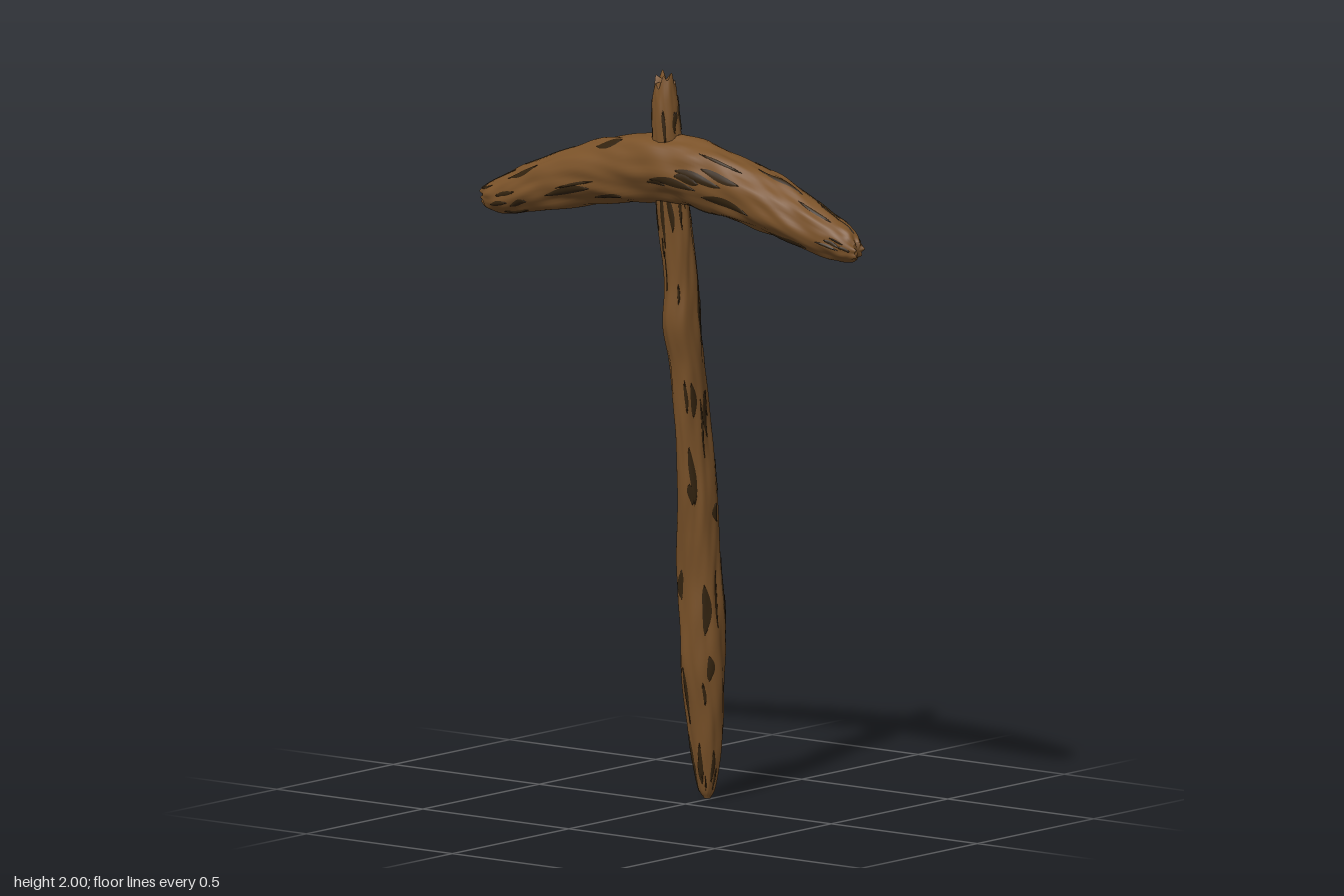
import * as THREE from 'three';
import { mergeGeometries } from 'three/addons/utils/BufferGeometryUtils.js';

const wood = new THREE.MeshStandardMaterial({ color: 0x7a5229 });
const darkWood = new THREE.MeshStandardMaterial({ color: 0x33230f, side: THREE.DoubleSide });

// Small seeded random generator
function seeded(seed) {
  return () => (seed = (seed * 16807) % 2147483647) / 2147483647;
}

// Surface of a limb from rows [station, lowA, highA, lowB, highB]; returns point(u, angle, lift)
function limbSurface(rows, place, phase, jagStart, jagEnd) {
  const curve = (a, b) => new THREE.CatmullRomCurve3(
    rows.map(r => new THREE.Vector3(r[0], r[a], r[b])), false, 'catmullrom', 0.5);
  const low = curve(1, 3), high = curve(2, 4);
  return (u, a, lift = 0) => {
    const lo = low.getPoint(u), hi = high.getPoint(u);
    // lumps, long grain ridges and fine bark
    const rough = 0.97
      + 0.030 * Math.sin(2 * a + 9 * u + phase)
      + 0.025 * Math.sin(3 * a + 31 * u + 2 * phase)
      + 0.028 * Math.sin(7 * a + 3 * Math.sin(11 * u + phase))
      + 0.020 * Math.sin(12 * a + 4 * Math.sin(17 * u) + phase) * Math.sin(23 * u + 2 * a)
      + 0.012 * Math.sin(5 * a + 75 * u);
    // splintered ends
    const teeth = 0.6 * Math.sin(2 * a + phase) + 0.4 * Math.sin(7 * a);
    const s = lo.x + teeth * (jagEnd * Math.max(0, 1 - (1 - u) * 18) + jagStart * Math.max(0, 1 - u * 18));
    const A = (lo.y + hi.y) / 2 + Math.cos(a) * ((hi.y - lo.y) / 2 * rough + lift);
    const B = (lo.z + hi.z) / 2 + Math.sin(a) * ((hi.z - lo.z) / 2 * rough + lift);
    return place(s, A, B);
  };
}

function indexed(points, index) {
  const g = new THREE.BufferGeometry().setFromPoints(points);
  g.setIndex(index);
  g.computeVertexNormals();
  return g;
}

// Closed skin of a limb with sunken end caps
function limbGeometry(surface, along = 150, around = 56) {
  const pts = [], idx = [];
  for (let i = 0; i <= along; i++)
    for (let j = 0; j < around; j++) pts.push(surface(i / along, j / around * Math.PI * 2));
  for (let i = 0; i < along; i++)
    for (let j = 0; j < around; j++) {
      const a = i * around + j, b = i * around + (j + 1) % around;
      const c = a + around, d = b + around;
      idx.push(a, c, b, b, c, d);
    }
  for (const end of [0, 1]) {
    const first = pts.length;
    const centre = new THREE.Vector3();
    for (let j = 0; j < around; j++) {
      const p = surface(end, j / around * Math.PI * 2);
      pts.push(p);
      centre.addScaledVector(p, 1 / around);
    }
    pts.push(centre);
    for (let j = 0; j < around; j++) {
      const a = first + j, b = first + (j + 1) % around;
      idx.push(...(end ? [a, first + around, b] : [b, first + around, a]));
    }
  }
  return indexed(pts, idx);
}

// Leaf-shaped dark gouge that follows the limb surface
function gouge(surface, u0, a0, length, width) {
  const n = 8, m = 4, pts = [], idx = [];
  for (let i = 0; i <= n; i++) {
    const t = i / n, w = width * Math.pow(Math.sin(Math.PI * t), 0.7);
    const drift = 0.3 * width * Math.sin(5 * t + a0 * 3);
    for (let j = 0; j <= m; j++) {
      const k = j / m * 2 - 1;
      pts.push(surface(u0 + (t - 0.5) * length, a0 + drift + k * w, 0.0018 * (1.2 - k * k)));
    }
  }
  for (let i = 0; i < n; i++)
    for (let j = 0; j < m; j++) {
      const a = i * (m + 1) + j, c = a + m + 1;
      idx.push(a, c, a + 1, a + 1, c, c + 1);
    }
  return indexed(pts, idx);
}

function limb(name, surface, gouges, seed, length, width) {
  const group = new THREE.Group();
  group.name = name;
  const skin = new THREE.Mesh(limbGeometry(surface), wood);
  skin.name = name + 'Wood';
  const rnd = seeded(seed), marks = [];
  for (let i = 0; i < gouges; i++) {
    const l = length * (0.4 + rnd());
    const u = l / 2 + 0.02 + rnd() * (0.96 - l);
    marks.push(gouge(surface, u, rnd() * Math.PI * 2, l, width * (0.35 + rnd())));
  }
  const bark = new THREE.Mesh(mergeGeometries(marks), darkWood);
  bark.name = name + 'Gouges';
  group.add(skin, bark);
  return group;
}

export function createModel() {
  const model = new THREE.Group();
  model.name = 'woodenPick';

  // Leaning handle: [y, x low, x high, z low, z high]
  const handle = limbSurface([
    [0.00, -0.022, -0.004, -0.120, -0.102],
    [0.03, -0.040, 0.010, -0.134, -0.088],
    [0.12, -0.056, 0.030, -0.143, -0.070],
    [0.24, -0.064, 0.044, -0.146, -0.050],
    [0.36, -0.068, 0.052, -0.143, -0.028],
    [0.48, -0.070, 0.058, -0.134, -0.024],
    [0.60, -0.076, 0.060, -0.123, -0.020],
    [0.72, -0.060, 0.060, -0.113, -0.004],
    [0.84, -0.044, 0.060, -0.102, 0.012],
    [0.96, -0.042, 0.055, -0.088, 0.022],
    [1.08, -0.044, 0.053, -0.072, 0.036],
    [1.20, -0.042, 0.054, -0.053, 0.052],
    [1.31, -0.046, 0.056, -0.037, 0.078],
    [1.42, -0.038, 0.057, -0.020, 0.076],
    [1.53, -0.044, 0.056, -0.001, 0.086],
    [1.64, -0.045, 0.050, 0.015, 0.098],
    [1.75, -0.043, 0.042, 0.032, 0.108],
    [1.85, -0.042, 0.037, 0.043, 0.114],
    [1.92, -0.040, 0.031, 0.046, 0.112],
    [1.975, -0.036, 0.022, 0.050, 0.106],
  ], (s, A, B) => new THREE.Vector3(A, s, B), 0.6, 0, 0.027);
  model.add(limb('handle', handle, 70, 41, 0.055, 0.17));

  // Bowed crosspiece: [x, z low, z high, y low, y high]
  const head = limbSurface([
    [-0.640, 0.040, 0.080, 1.575, 1.615],
    [-0.610, 0.015, 0.098, 1.555, 1.640],
    [-0.550, 0.002, 0.112, 1.552, 1.668],
    [-0.450, -0.008, 0.124, 1.572, 1.712],
    [-0.340, -0.012, 0.130, 1.592, 1.755],
    [-0.220, -0.014, 0.137, 1.615, 1.795],
    [-0.110, -0.017, 0.142, 1.630, 1.820],
    [0.000, -0.018, 0.145, 1.638, 1.835],
    [0.110, -0.018, 0.145, 1.632, 1.825],
    [0.220, -0.017, 0.138, 1.616, 1.798],
    [0.340, -0.016, 0.130, 1.592, 1.760],
    [0.450, -0.013, 0.124, 1.570, 1.714],
    [0.550, 0.002, 0.112, 1.550, 1.666],
    [0.610, 0.018, 0.096, 1.545, 1.632],
    [0.638, 0.040, 0.078, 1.555, 1.602],
  ], (s, A, B) => new THREE.Vector3(s, B, A), 2.1, 0.010, 0.010);
  model.add(limb('crosspiece', head, 75, 977, 0.075, 0.13));

  return model;
}
